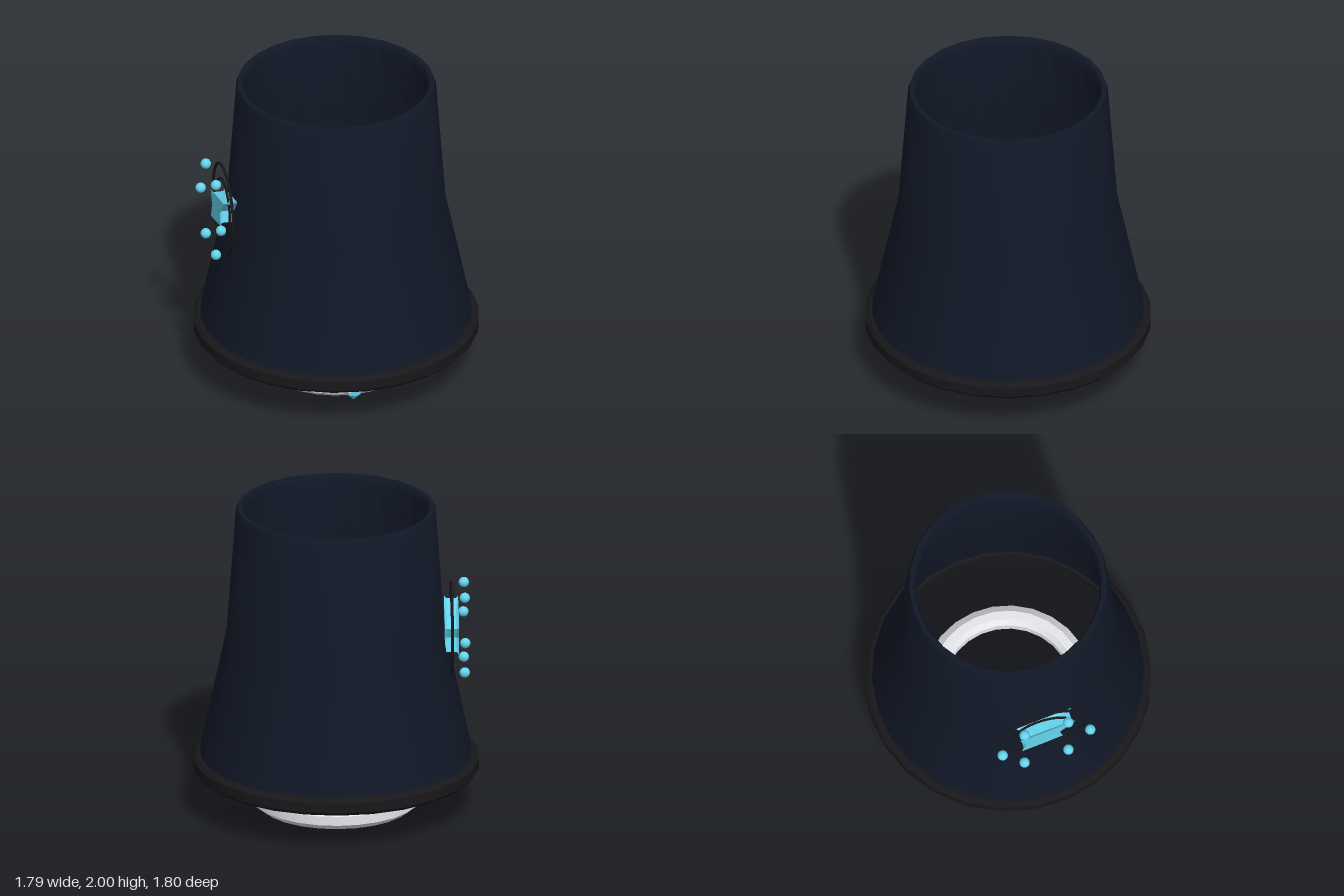
import * as THREE from 'three';
import { toCreasedNormals } from 'three/addons/utils/BufferGeometryUtils.js';

const material = (color) => new THREE.MeshStandardMaterial({ color, side: THREE.DoubleSide });
const navy = material(0x111827);
const black = material(0x18181b);
const cyan = material(0x67d5ee);
const white = material(0xe5e7eb);

function addMesh(parent, name, geometry, mat, position = [0, 0, 0]) {
  const mesh = new THREE.Mesh(geometry, mat);
  mesh.name = name;
  mesh.position.set(...position);
  parent.add(mesh);
  return mesh;
}

// Closed profile, outer side listed upwards, turned around y.
function turned(profile, sides, crease = 0.5) {
  const points = [...profile, profile[0]].map(([r, y]) => new THREE.Vector2(r, y));
  return toCreasedNormals(new THREE.LatheGeometry(points, sides), crease);
}

export function createModel() {
  const model = new THREE.Group();
  model.name = 'sleeveCuff';

  // Flared hollow sleeve
  addMesh(model, 'sleeve', turned([
    [0.865, 0.31], [0.855, 0.37], [0.69, 1.16], [0.63, 1.97], [0.62, 2],
    [0.59, 2], [0.578, 1.97], [0.65, 1.16], [0.82, 0.31],
  ], 26), navy);

  // Bevelled hem around the wide end
  addMesh(model, 'hem', turned([
    [0.88, 0.26], [0.9, 0.282], [0.9, 0.345], [0.872, 0.37],
    [0.82, 0.37], [0.795, 0.345], [0.795, 0.282], [0.82, 0.26],
  ], 26), black);

  // Wrist band below the sleeve, with a gem at its front
  addMesh(model, 'wristBand', turned([
    [0.485, 0.025], [0.535, 0.065], [0.535, 0.125], [0.485, 0.165],
    [0.43, 0.165], [0.402, 0.125], [0.402, 0.065], [0.43, 0.025],
  ], 26), white);
  const gemProfile = [[0.001, -0.09], [0.046, -0.045], [0.046, 0.045], [0.001, 0.09]]
    .map(([r, y]) => new THREE.Vector2(r, y));
  const gem = new THREE.LatheGeometry(gemProfile, 6);
  addMesh(model, 'gem', toCreasedNormals(gem, 0.2), cyan, [0, 0.09, 0.5]);

  // Round emblem on the model's right side, facing -x
  const emblem = new THREE.Group();
  emblem.name = 'emblem';
  emblem.position.set(-0.725, 1.19, 0);
  emblem.rotation.y = -Math.PI / 2; // local x becomes +z, local z becomes -x
  model.add(emblem);

  addMesh(emblem, 'outerRing', new THREE.TorusGeometry(0.285, 0.009, 8, 48), black);
  addMesh(emblem, 'innerRing', new THREE.TorusGeometry(0.19, 0.008, 8, 40), black);

  // Jagged plate whose two faces are wider than its waist
  const outline = [
    [-0.15, -0.13], [-0.02, -0.1], [0.12, -0.06], [0.1, 0.02],
    [0.2, 0.14], [0.03, 0.1], [-0.03, 0.085], [-0.16, 0.05], [-0.12, -0.03],
  ].map(([x, y]) => new THREE.Vector2(x, y));
  const plate = new THREE.ExtrudeGeometry(new THREE.Shape(outline), {
    depth: 0.06, bevelEnabled: true, bevelThickness: 0.015, bevelSize: -0.015, bevelSegments: 1,
  });
  addMesh(emblem, 'plate', plate, cyan, [0, 0, -0.03]);

  for (let i = 0; i < 6; i++) {
    const a = (i * Math.PI) / 3;
    addMesh(emblem, 'bead' + (i + 1), new THREE.SphereGeometry(0.033, 16, 12), cyan,
      [0.288 * Math.cos(a), 0.288 * Math.sin(a), 0.08]);
  }

  // Thin threads hanging inside the front wall
  for (const x of [-0.01, 0.04]) {
    const thread = addMesh(model, 'innerThread', new THREE.ConeGeometry(0.012, 0.16, 6), white, [x, 0.84, 0.69]);
    thread.rotation.x = Math.PI;
  }

  return model;
}
